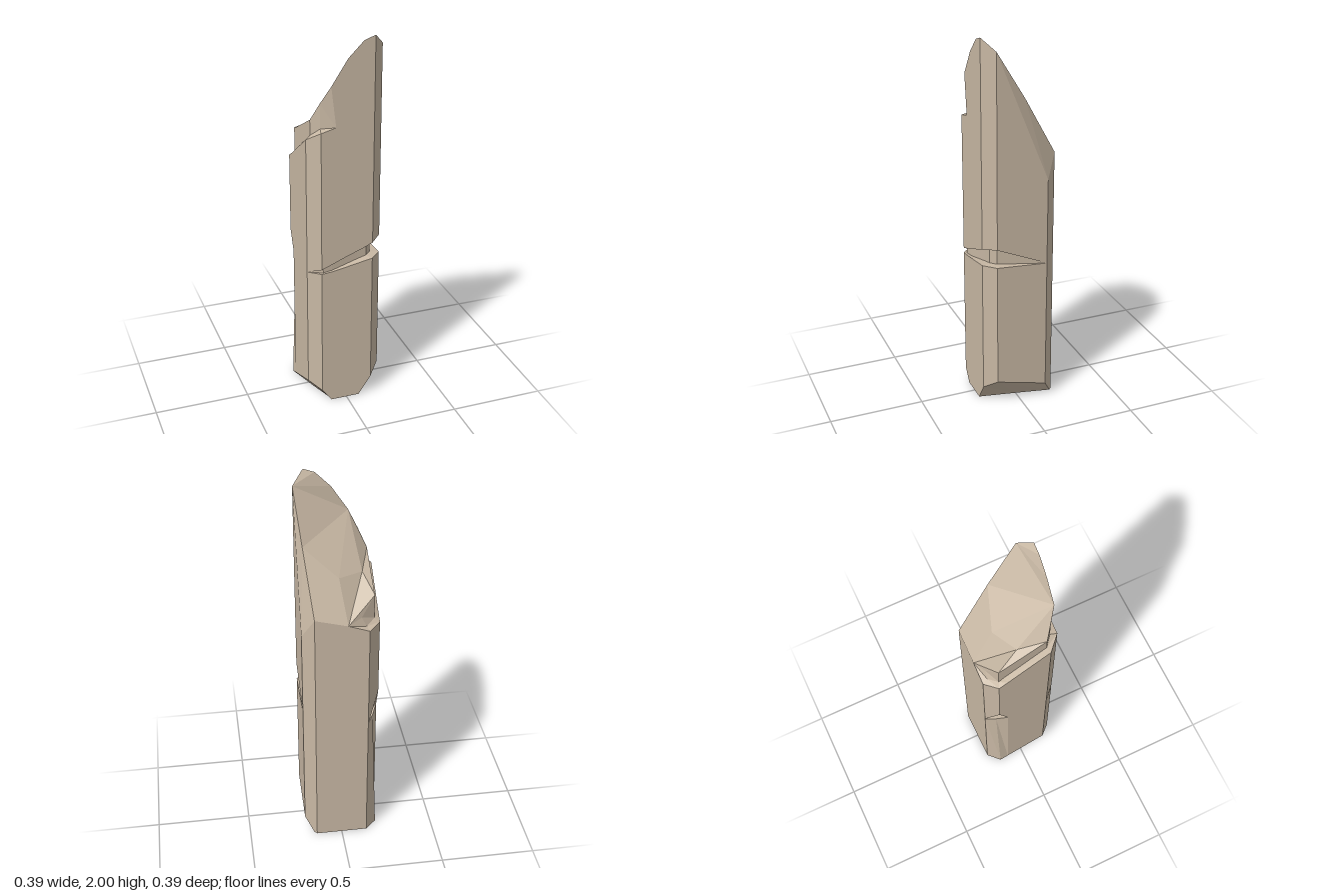
import * as THREE from 'three';

// Outline of the shaft (x, z), counter-clockwise from above: a square with cut
// corners, plus extra stations on the front (1-3), back (8) and side (11).
const OUTLINE = [
  [-0.137, 0.196], [-0.085, 0.196], [0, 0.196], [0.08, 0.196], [0.137, 0.196],
  [0.196, 0.137], [0.196, -0.137], [0.137, -0.196], [-0.03, -0.196],
  [-0.137, -0.196], [-0.196, -0.137], [-0.196, -0.09], [-0.196, 0.137],
];

// A ring of points at the given heights; moved holds stations off the outline.
function ring(heights, moved = {}) {
  return OUTLINE.map(([x, z], i) =>
    new THREE.Vector3(...(moved[i] ?? [x, heights[i], z])));
}

export function createModel() {
  const positions = [];
  const addTriangle = (a, b, c) => {
    const area = b.clone().sub(a).cross(c.clone().sub(a)).length();
    if (area > 1e-7) for (const p of [a, b, c]) positions.push(p.x, p.y, p.z);
  };

  const lowerLip = [0.775, 0.78, 0.795, 0.81, 0.82, 0.82, 0.8, 0.76, 0.75, 0.73, 0.75, 0.78, 0.77];
  const upperLip = [0.8, 0.82, 0.855, 0.885, 0.91, 0.92, 0.8, 0.76, 0.75, 0.73, 0.89, 0.78, 0.77];
  const rim = [1.54, 1.56, 1.9, 1.98, 2, 1.94, 1.26, 1.38, 1.335, 1.297, 1.31, 1.34, 1.495];

  // Back wall of the gash, following the height of a lip
  const core = (h) => ring(h, {
    0: [-0.125, h[0], 0.183], 1: [-0.075, h[1], 0.178], 2: [0, h[2], 0.166],
    3: [0.07, h[3], 0.156], 4: [0.12, h[4], 0.15], 5: [0.15, h[5], 0.12],
    10: [-0.15, h[10], -0.125],
  });

  const wallTop = ring(rim, {
    0: [-0.13, 1.68, 0.16], 1: [-0.085, 1.77, 0.196], 9: [-0.1, 1.36, -0.165],
    10: [-0.17, 1.46, -0.127], 11: [-0.17, 1.47, -0.1], 12: [-0.17, 1.59, 0.125],
  });

  const rings = [
    // foot, with two chipped corners
    ring(Array(13).fill(0), {
      0: [-0.08, 0, 0.196], 1: [-0.08, 0, 0.196], 3: [0.07, 0, 0.196], 4: [0.07, 0, 0.196],
      5: [0.11, 0, 0], 6: [0.15, 0, -0.183], 11: [-0.183, 0, -0.1], 12: [-0.14, 0, 0.03],
    }),
    ring([0.07, 0, 0, 0.015, 0.1, 0.15, 0.08, 0, 0, 0, 0, 0.02, 0.11]),
    // gash around the middle
    ring(lowerLip, { 10: [-0.168, 0.75, -0.146] }),
    core(lowerLip),
    core(upperLip),
    ring(upperLip),
    // broken rim, ledge and the wall above it
    ring(rim, { 1: [-0.06, 1.56, 0.196] }),
    ring(rim, {
      0: [-0.13, 1.55, 0.16], 1: [-0.06, 1.56, 0.196], 9: [-0.125, 1.31, -0.168],
      10: [-0.17, 1.33, -0.127], 11: [-0.17, 1.355, -0.1], 12: [-0.17, 1.51, 0.125],
    }),
    wallTop,
  ];

  // Sides between neighbouring rings
  const n = OUTLINE.length;
  for (let r = 0; r < rings.length - 1; r++) {
    for (let i = 0; i < n; i++) {
      const j = (i + 1) % n;
      const lo = rings[r], hi = rings[r + 1];
      addTriangle(lo[i], lo[j], hi[i]);
      addTriangle(lo[j], hi[j], hi[i]);
    }
  }

  // Flat underside
  const centre = new THREE.Vector3(0, 0, 0);
  for (let i = 0; i < n; i++) addTriangle(centre, rings[0][(i + 1) % n], rings[0][i]);

  // Faceted sloping break at the top, with three inner points (13-15)
  const top = [
    ...wallTop,
    new THREE.Vector3(0.17, 1.69, -0.02),
    new THREE.Vector3(0, 1.54, -0.08),
    new THREE.Vector3(-0.125, 1.53, -0.01),
  ];
  const facets = [
    [1, 2, 5], [2, 3, 5], [3, 4, 5], [1, 5, 13], [5, 6, 13], [6, 7, 13],
    [7, 14, 13], [7, 8, 14], [1, 13, 14], [1, 14, 15], [14, 8, 15], [15, 8, 10],
    [8, 9, 10], [15, 10, 11], [15, 11, 12], [1, 15, 12], [0, 1, 12],
  ];
  for (const [a, b, c] of facets) addTriangle(top[a], top[b], top[c]);

  const geometry = new THREE.BufferGeometry();
  geometry.setAttribute('position', new THREE.Float32BufferAttribute(positions, 3));
  geometry.computeVertexNormals();

  const stone = new THREE.MeshStandardMaterial({ color: 0xc8b8a4, flatShading: true });
  const pillar = new THREE.Mesh(geometry, stone);
  pillar.name = 'brokenStonePillar';

  const group = new THREE.Group();
  group.name = 'stonePillar';
  group.add(pillar);
  return group;
}
